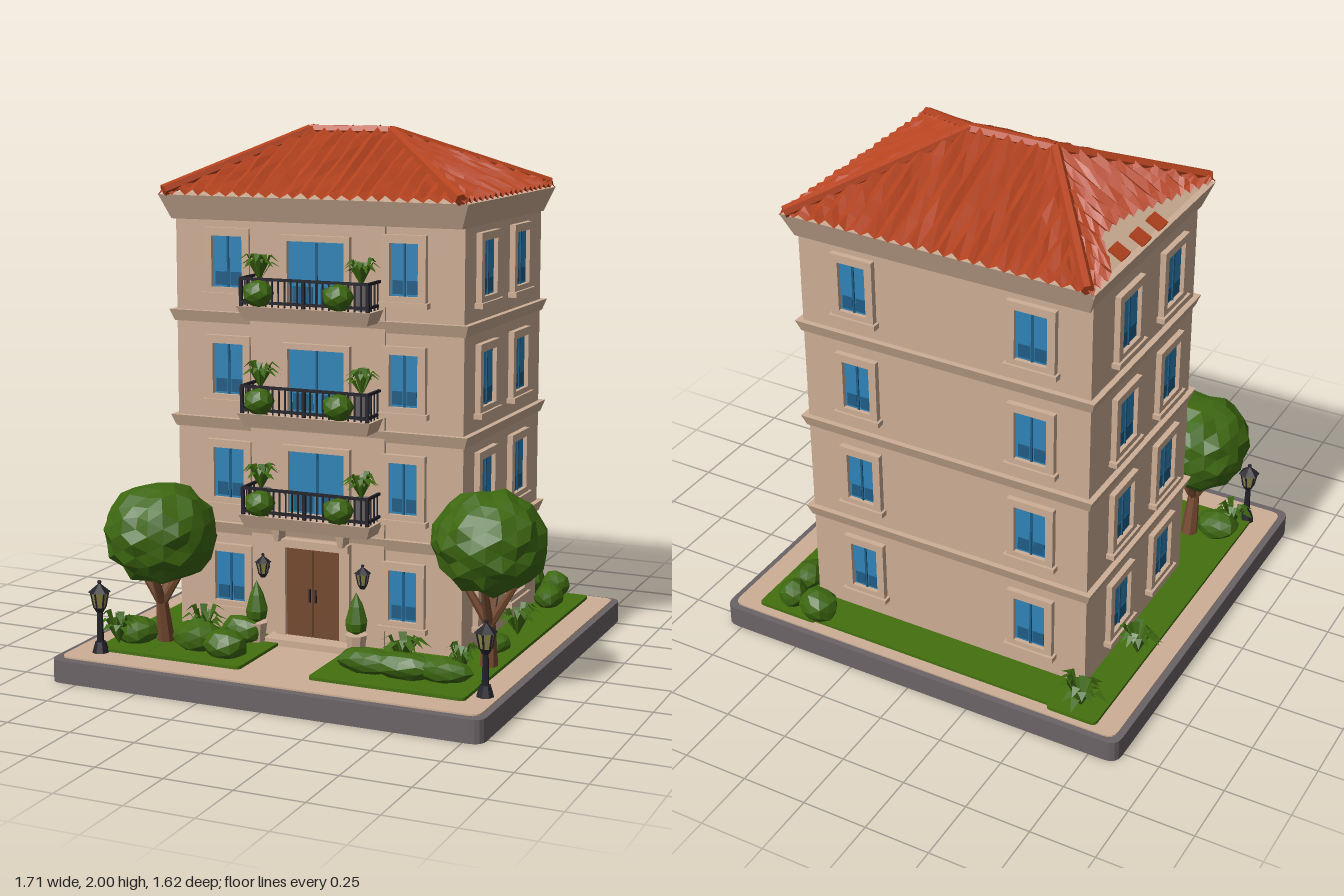
import * as THREE from 'three';

const mat = (name, color, side = THREE.FrontSide) => {
  const m = new THREE.MeshStandardMaterial({ color, side });
  m.name = name;
  return m;
};

let seed = 7;
const rnd = () => ((seed = (seed * 16807) % 2147483647) / 2147483647);

export function createModel() {
  const root = new THREE.Group();
  root.name = 'apartmentBlock';
  const M = {
    wall: mat('beigeStone', 0xcdae95),
    kerb: mat('greyKerb', 0x6b6467),
    grass: mat('grassGreen', 0x44700f),
    leaf: mat('leafGreen', 0x3d6811, THREE.DoubleSide),
    tile: mat('terracotta', 0xb5431f, THREE.DoubleSide),
    glass: mat('blueGlass', 0x2f83b8),
    shade: mat('deepBlueGlass', 0x1f5c85),
    wood: mat('brownWood', 0x74492f),
    metal: mat('darkMetal', 0x22222a),
    lamp: mat('lampGlass', 0x8f8a4a),
  };

  // ---- helpers ----
  const flat = (g) => {
    const f = g.index ? g.toNonIndexed() : g;
    f.computeVertexNormals();
    return f;
  };
  const add = (parent, name, geo, m, x = 0, y = 0, z = 0) => {
    const mesh = new THREE.Mesh(geo, m);
    mesh.name = name;
    mesh.position.set(x, y, z);
    parent.add(mesh);
    return mesh;
  };
  const group = (parent, name, x = 0, y = 0, z = 0, ry = 0) => {
    const g = new THREE.Group();
    g.name = name;
    g.position.set(x, y, z);
    g.rotation.y = ry;
    parent.add(g);
    return g;
  };
  // box given by its limits
  const block = (p, name, m, x0, x1, y0, y1, z0, z1) =>
    add(p, name, new THREE.BoxGeometry(x1 - x0, y1 - y0, z1 - z0), m, (x0 + x1) / 2, (y0 + y1) / 2, (z0 + z1) / 2);
  // block whose lower face is drawn in by d
  const flare = (p, name, m, x0, x1, y0, y1, z0, z1, d) => {
    const mesh = block(p, name, m, x0, x1, y0, y1, z0, z1);
    const a = mesh.geometry.attributes.position;
    for (let i = 0; i < a.count; i++) if (a.getY(i) < 0) {
      a.setX(i, a.getX(i) - Math.sign(a.getX(i)) * d);
      a.setZ(i, a.getZ(i) - Math.sign(a.getZ(i)) * d);
    }
    mesh.geometry.computeVertexNormals();
    return mesh;
  };
  // flat slab with rounded corners
  const slab = (name, m, x0, x1, z0, z1, y0, y1, r) => {
    const s = new THREE.Shape();
    s.moveTo(x0 + r, -z1).lineTo(x1 - r, -z1).quadraticCurveTo(x1, -z1, x1, -z1 + r);
    s.lineTo(x1, -z0 - r).quadraticCurveTo(x1, -z0, x1 - r, -z0);
    s.lineTo(x0 + r, -z0).quadraticCurveTo(x0, -z0, x0, -z0 - r);
    s.lineTo(x0, -z1 + r).quadraticCurveTo(x0, -z1, x0 + r, -z1);
    const g = new THREE.ExtrudeGeometry(s, { depth: y1 - y0, bevelEnabled: false, curveSegments: 4 });
    return add(root, name, g.rotateX(-Math.PI / 2), m, 0, y0, 0);
  };
  const rod = (p, name, m, a, b, r0, r1, sides = 6) => {
    const A = new THREE.Vector3(...a), B = new THREE.Vector3(...b), d = B.clone().sub(A);
    const mesh = add(p, name, flat(new THREE.CylinderGeometry(r1, r0, d.length(), sides)), m);
    mesh.position.copy(A).addScaledVector(d, 0.5);
    mesh.quaternion.setFromUnitVectors(new THREE.Vector3(0, 1, 0), d.normalize());
  };
  // lumpy faceted foliage
  const clump = (p, name, x, y, z, rx, ry, rz, detail = 1) => {
    const g = new THREE.IcosahedronGeometry(1, detail), a = g.attributes.position, v = new THREE.Vector3();
    for (let i = 0; i < a.count; i++) {
      v.fromBufferAttribute(a, i);
      const k = 0.95 + 0.07 * Math.sin(v.x * 9 + x * 20) * Math.cos(v.y * 8 + v.z * 7);
      a.setXYZ(i, v.x * k * rx, v.y * k * ry, v.z * k * rz);
    }
    add(p, name, flat(g), M.leaf, x, y, z);
  };
  // arching pointed blades
  const fern = (p, x, y, z, r, h) => {
    const pos = [];
    for (let i = 0; i < 18; i++) {
      const t = i * 2.4, reach = r * (0.45 + 0.55 * rnd()), up = h * (0.6 + 0.4 * rnd()), w = r * 0.14;
      const c = Math.cos(t), s = Math.sin(t);
      const P = (k, yy, o) => [c * k * reach - s * o, yy * up, s * k * reach + c * o];
      const a = P(0, 0, 0), b = P(0.55, 0.95, w), d = P(0.55, 0.95, -w), e = P(1, 0.7, 0);
      pos.push(...a, ...b, ...d, ...b, ...e, ...d);
    }
    const g = new THREE.BufferGeometry();
    g.setAttribute('position', new THREE.Float32BufferAttribute(pos, 3));
    g.computeVertexNormals();
    add(p, 'fern', g, M.leaf, x, y, z);
  };

  // ---- plot ----
  slab('kerb', M.kerb, -0.86, 0.82, -0.81, 0.81, 0, 0.084, 0.05);
  slab('paving', M.wall, -0.835, 0.795, -0.785, 0.775, 0.08, 0.09, 0.04);
  slab('lawnLeft', M.grass, -0.75, -0.55, -0.76, 0.66, 0.085, 0.102, 0.02);
  slab('lawnRight', M.grass, 0.45, 0.7, -0.75, 0.66, 0.085, 0.102, 0.02);
  slab('lawnBack', M.grass, -0.7, 0.65, -0.74, -0.5, 0.085, 0.1015, 0.01);
  slab('lawnFrontLeft', M.grass, -0.7, -0.16, 0.2, 0.66, 0.085, 0.1015, 0.02);
  slab('lawnFrontRight', M.grass, 0.11, 0.65, 0.2, 0.66, 0.085, 0.1015, 0.02);

  // ---- walls, floor bands and cornice ----
  const X0 = -0.62, X1 = 0.53, Z0 = -0.585, Z1 = 0.24;
  block(root, 'walls', M.wall, X0, X1, 0.085, 1.68, Z0, Z1);
  block(root, 'centreBay', M.wall, -0.31, 0.23, 0.085, 1.67, 0, Z1 + 0.012);
  for (const y of [0.5, 0.9, 1.3]) flare(root, 'floorBand', M.wall, X0 - 0.022, X1 + 0.022, y - 0.025, y + 0.018, Z0 - 0.022, Z1 + 0.022, 0.015);
  flare(root, 'cornice', M.wall, -0.65, 0.57, 1.66, 1.75, -0.635, 0.32, 0.035);

  // ---- windows ----
  const openingFrame = (w, h, b) => {
    const s = new THREE.Shape(), o = new THREE.Path(), W = w / 2 + b, H = h / 2 + b;
    s.moveTo(-W, -H).lineTo(W, -H).lineTo(W, H).lineTo(-W, H).closePath();
    o.moveTo(-w / 2, -h / 2).lineTo(-w / 2, h / 2).lineTo(w / 2, h / 2).lineTo(w / 2, -h / 2).closePath();
    s.holes.push(o);
    return new THREE.ExtrudeGeometry(s, { depth: 0.022, bevelEnabled: false });
  };
  const windowAt = (x, y, z, ry, w, h, border) => {
    const g = group(root, 'window', x, y, z, ry);
    add(g, 'windowFrame', openingFrame(w, h, border), M.wall);
    block(g, 'windowPane', M.glass, -w / 2, w / 2, -h / 2, h / 2, 0, 0.006);
    block(g, 'mullion', M.shade, -0.004, 0.004, -h / 2, h / 2, 0.004, 0.011);
    for (const s of [-1, 1]) block(g, 'lowerPane', M.shade, s * w / 4 - w * 0.18, s * w / 4 + w * 0.18, -h * 0.46, -h * 0.2, 0.004, 0.008);
    return g;
  };
  const floors = [0.31, 0.71, 1.105, 1.505];
  for (const y of floors) {
    for (const [x, w] of [[-0.4, 0.125], [0.305, 0.11]]) {
      for (const [z, ry] of [[Z1, 0], [Z0, Math.PI]]) {
        const g = windowAt(x, y, z, ry, w, 0.19, 0.03);
        block(g, 'sill', M.wall, -w / 2 - 0.04, w / 2 + 0.04, -0.135, -0.115, 0, 0.032);
      }
    }
    for (const z of [0.03, -0.325]) for (const [x, ry] of [[X1, Math.PI / 2], [X0, -Math.PI / 2]]) {
      const g = windowAt(x, y, z, ry, 0.135, 0.2, 0.03);
      block(g, 'sill', M.wall, -0.11, 0.11, -0.14, -0.12, 0, 0.032);
    }
  }

  // ---- balconies ----
  for (const y of [0.585, 0.965, 1.36]) {
    windowAt(-0.035, y + 0.115, Z1 + 0.012, 0, 0.225, 0.235, 0.022);
    const g = group(root, 'balcony', -0.04, y, 0);
    flare(g, 'balconySlab', M.wall, -0.265, 0.265, -0.05, 0, 0.18, 0.375, 0.02);
    for (const h of [0.015, 0.1]) {
      block(g, 'frontRail', M.metal, -0.255, 0.255, h - 0.005, h + 0.005, 0.355, 0.367);
      for (const s of [-1, 1]) block(g, 'sideRail', M.metal, s * 0.25 - 0.005, s * 0.25 + 0.005, h - 0.005, h + 0.005, 0.25, 0.36);
    }
    for (let i = 0; i <= 20; i++) {
      const x = -0.25 + i * 0.025, r = i % 10 ? 0.0025 : 0.006;
      block(g, 'railBar', M.metal, x - r, x + r, 0, 0.1, 0.361 - r, 0.361 + r);
    }
    for (const s of [-1, 1]) for (const z of [0.27, 0.3, 0.33])
      block(g, 'sideBar', M.metal, s * 0.25 - 0.0025, s * 0.25 + 0.0025, 0, 0.1, z - 0.0025, z + 0.0025);
    for (const [bx, fx] of [[-0.175, -0.2], [0.14, 0.205]]) {
      clump(g, 'balconyBush', bx, 0.05, 0.375, 0.06, 0.052, 0.055);
      add(g, 'planter', flat(new THREE.CylinderGeometry(0.035, 0.028, 0.09, 8)), M.kerb, fx, 0.045, 0.305);
      fern(g, fx, 0.085, 0.31, 0.085, 0.11);
    }
  }

  // ---- entrance ----
  const door = group(root, 'entrance', -0.05, 0, Z1 + 0.012);
  block(door, 'doorStep', M.wall, -0.17, 0.17, 0.085, 0.115, 0, 0.09);
  block(door, 'doorLintel', M.wall, -0.15, 0.15, 0.455, 0.485, 0, 0.035);
  for (const s of [-1, 1]) {
    block(door, 'doorJamb', M.wall, s * 0.13 - 0.02, s * 0.13 + 0.02, 0.09, 0.46, 0, 0.025);
    block(door, 'doorLeaf', M.wood, s * 0.0545 - 0.0525, s * 0.0545 + 0.0525, 0.115, 0.455, 0, 0.015);
    block(door, 'doorHandle', M.metal, s * 0.012 - 0.003, s * 0.012 + 0.003, 0.25, 0.3, 0.014, 0.022);
    flare(door, 'bracket', M.wall, s * 0.13 - 0.02, s * 0.13 + 0.02, 0.48, 0.54, -0.01, 0.07, 0.012);
  }

  // ---- lanterns and lamp posts ----
  const lantern = (p, x, y, z, k) => {
    const g = group(p, 'lantern', x, y, z);
    g.scale.setScalar(k);
    add(g, 'lanternFoot', flat(new THREE.CylinderGeometry(0.024, 0.012, 0.02, 6)), M.metal, 0, 0.01, 0);
    add(g, 'lanternGlass', flat(new THREE.CylinderGeometry(0.032, 0.02, 0.06, 6)), M.lamp, 0, 0.05, 0);
    add(g, 'lanternCap', flat(new THREE.ConeGeometry(0.042, 0.035, 6)), M.metal, 0, 0.095, 0);
    add(g, 'lanternTip', flat(new THREE.IcosahedronGeometry(0.009, 0)), M.metal, 0, 0.115, 0);
    for (let i = 0; i < 6; i++) {
      const a = i * Math.PI / 3, s = Math.sin(a), c = Math.cos(a);
      rod(g, 'lanternBar', M.metal, [0.021 * s, 0.02, 0.021 * c], [0.033 * s, 0.08, 0.033 * c], 0.004, 0.004, 4);
    }
  };
  for (const x of [-0.24, 0.165]) {
    lantern(root, x, 0.335, 0.3, 0.75);
    rod(root, 'lanternArm', M.metal, [x, 0.37, 0.24], [x, 0.345, 0.3], 0.006, 0.006);
    add(root, 'topiaryPot', flat(new THREE.CylinderGeometry(0.042, 0.03, 0.08, 8)), M.wall, x - 0.005, 0.135, 0.345);
    const pts = [[0.001, 0], [0.038, 0.02], [0.043, 0.05], [0.026, 0.11], [0.001, 0.16]].map((q) => new THREE.Vector2(...q));
    add(root, 'topiary', flat(new THREE.LatheGeometry(pts, 8)), M.leaf, x - 0.005, 0.172, 0.345);
  }
  for (const [x, z] of [[-0.725, 0.67], [0.745, 0.575]]) {
    add(root, 'lampBase', flat(new THREE.CylinderGeometry(0.02, 0.032, 0.04, 8)), M.metal, x, 0.11, z);
    rod(root, 'lampPole', M.metal, [x, 0.1, z], [x, 0.25, z], 0.014, 0.01);
    lantern(root, x, 0.24, z, 1);
  }

  // ---- trees ----
  for (const [x, y, z, tz] of [[-0.56, 0.52, 0.5, 0.47], [0.65, 0.555, 0.28, 0.28]]) {
    const t = group(root, 'tree');
    rod(t, 'trunk', M.wood, [x, 0.09, tz], [x, 0.27, z], 0.035, 0.022, 7);
    for (const [dx, dz] of [[-0.1, 0.02], [0.1, -0.02], [0.01, 0.09], [0, -0.09]]) rod(t, 'branch', M.wood, [x, 0.25, z], [x + dx, 0.42, z + dz], 0.018, 0.012);
    clump(t, 'canopy', x, y, z, 0.215, 0.195, 0.215, 3);
  }

  // ---- shrubs and hedge: x, y, z and radii ----
  [[0.3, 0.15, 0.55, 0.13, 0.05, 0.06], [0.43, 0.15, 0.55, 0.14, 0.05, 0.06], [0.57, 0.15, 0.54, 0.12, 0.05, 0.06],
    [-0.27, 0.14, 0.55, 0.09, 0.06, 0.07], [-0.4, 0.15, 0.52, 0.1, 0.065, 0.09], [-0.66, 0.14, 0.52, 0.09, 0.06, 0.08],
    [-0.3, 0.14, 0.36, 0.09, 0.06, 0.05], [0.45, 0.155, -0.71, 0.08, 0.07, 0.07], [0.6, 0.14, -0.55, 0.06, 0.055, 0.08],
    [0.58, 0.15, -0.69, 0.06, 0.06, 0.06], [0.61, 0.13, 0.1, 0.06, 0.04, 0.07]].forEach((s) => clump(root, 'shrub', ...s));
  for (const [x, z, r] of [[-0.66, -0.69, 0.12], [-0.71, -0.33, 0.1], [0.62, -0.12, 0.11], [0.37, 0.4, 0.11],
    [-0.45, 0.38, 0.1], [-0.7, 0.58, 0.1], [0.6, 0.42, 0.08]]) fern(root, x, 0.1, z, r, 0.13);

  // ---- roof: fluted slope along one axis, tapering to the ridge ----
  const EY = 1.75, RY = 1.975;
  const slope = (name, m, n, a0, a1, c0, c1, eave, top, along, wave, drop, gap = () => 0) => {
    const rows = 5, cols = [];
    for (let i = 0; i <= n; i++) {
      const a = a0 + (a1 - a0) * i / n;
      const s1 = Math.min(1, (a - a0) / (c0 - a0), (a1 - a) / (a1 - c1)), s0 = Math.min(gap(a), s1), col = [];
      for (let j = 0; j <= rows; j++) {
        const s = s0 + (s1 - s0) * j / rows, b = eave + (top - eave) * s;
        const aa = a + wave * 0.5 * (rnd() - 0.5);
        const y = EY + (RY - EY) * s - drop + (i % 2 ? wave * (0.8 + 0.4 * rnd()) : 0);
        col.push(along === 'x' ? [aa, y, b] : [b, y, aa]);
      }
      cols.push(col);
    }
    const up = (along === 'x') === (eave > top), pos = [];
    for (let i = 0; i < n; i++) for (let j = 0; j < rows; j++) {
      const p = cols[i][j], q = cols[i + 1][j], r = cols[i + 1][j + 1], t = cols[i][j + 1];
      pos.push(...(up ? [p, q, r, p, r, t] : [p, r, q, p, t, r]).flat());
    }
    const g = new THREE.BufferGeometry();
    g.setAttribute('position', new THREE.Float32BufferAttribute(pos, 3));
    g.computeVertexNormals();
    add(root, name, g, m);
  };
  const worn = (z) => (z > -0.5 && z < 0.29 ? Math.max(0, Math.min(0.26, (z + 0.5) * 2, (0.29 - z) * 0.5)) : 0);
  const L = -0.645, R = 0.565, B = -0.64, F = 0.325, RX0 = -0.24, RX1 = 0.09, RZ = -0.135;
  slope('roofFront', M.tile, 44, L, R, RX0, RX1, F, RZ, 'x', 0.02, 0);
  slope('roofBack', M.tile, 44, L, R, RX0, RX1, B, RZ, 'x', 0.02, 0);
  slope('roofRight', M.tile, 36, B, F, RZ, RZ, R, RX1, 'z', 0.02, 0);
  slope('roofLeft', M.tile, 36, B, F, RZ, RZ, L, RX0, 'z', 0.02, 0, worn);
  slope('roofDeck', M.wall, 2, B, F, RZ, RZ, L, RX0, 'z', 0, 0.012);
  for (const [x, z] of [[-0.6, -0.36], [-0.615, -0.23], [-0.615, -0.1]]) {
    add(root, 'looseTile', new THREE.BoxGeometry(0.06, 0.015, 0.06), M.tile, x, EY + 0.02, z).rotation.z = 0.5;
  }
  const cap = (a, b) => rod(root, 'ridgeCap', M.tile, a, b, 0.022, 0.022, 6);
  cap([RX0, RY, RZ], [RX1, RY, RZ]);
  for (const z of [B, F]) {
    cap([L + 0.02, EY + 0.015, z], [RX0, RY, RZ]);
    cap([R - 0.02, EY + 0.015, z], [RX1, RY, RZ]);
  }
  return root;
}
